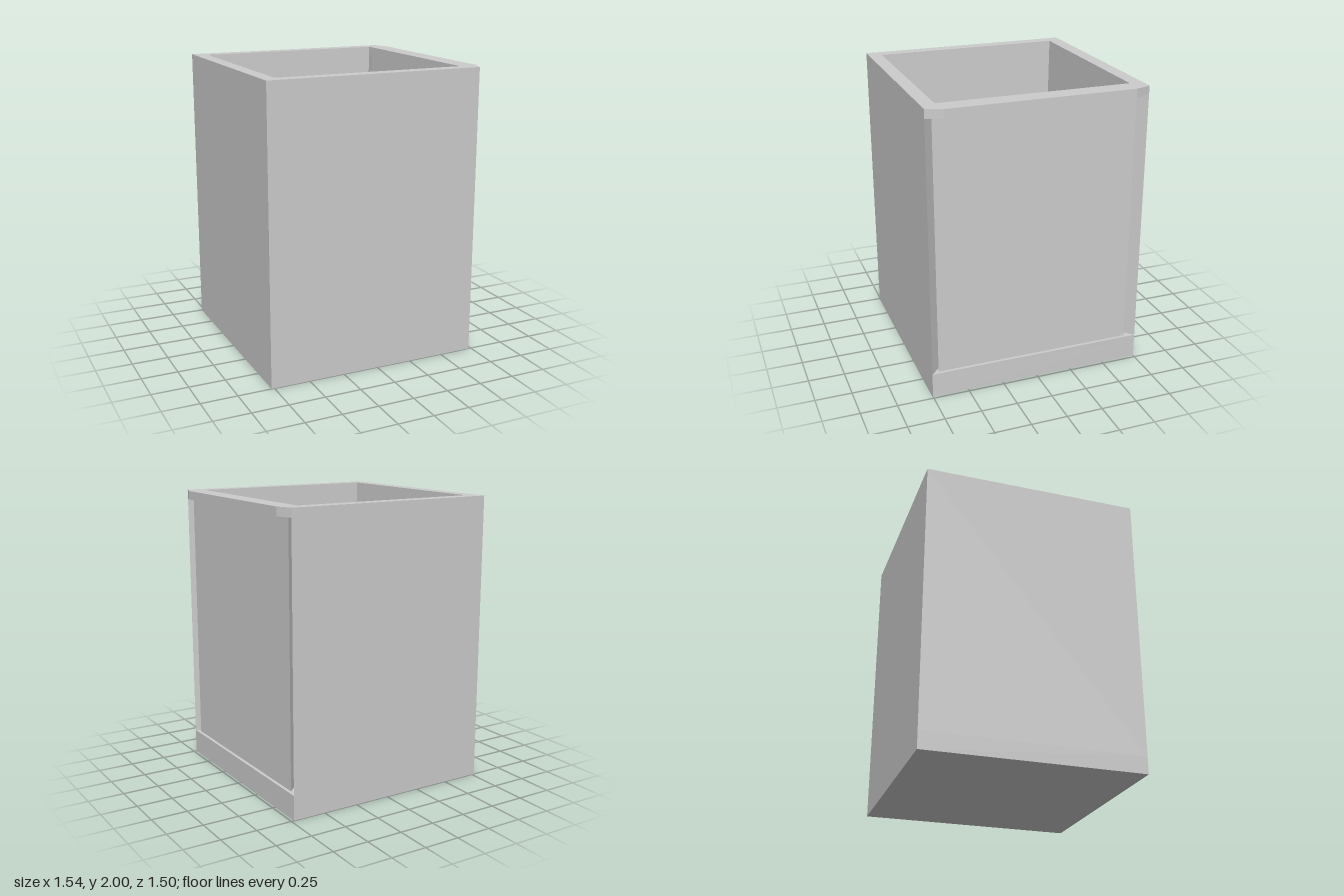
import * as THREE from 'three';

const FLOOR = 0.12, SILL = 0.17, LIP = 1.94, TOP = 2;

// Tapered cavity: left, right and half-depth limits at height y
function cavity(y) {
  const t = (y - FLOOR) / (TOP - FLOOR);
  return { l: -0.63 - 0.05 * t, r: 0.585 + 0.05 * t, d: 0.61 + 0.047 * t };
}

// Loft a counter-clockwise (x, z) outline, given by section(y), from y0 to y1
function loft(name, section, y0, y1, material) {
  const a = section(y0), b = section(y1), n = a.length;
  const pos = [];
  const put = (p, y) => pos.push(p[0], y, p[1]);
  for (let i = 0; i < n; i++) {
    const j = (i + 1) % n;
    put(a[i], y0); put(b[j], y1); put(a[j], y0);
    put(a[i], y0); put(b[i], y1); put(b[j], y1);
  }
  const caps = THREE.ShapeUtils.triangulateShape(a.map(p => new THREE.Vector2(...p)), []);
  for (const [i, j, k] of caps) {
    put(a[i], y0); put(a[j], y0); put(a[k], y0);
    put(b[i], y1); put(b[k], y1); put(b[j], y1);
  }
  const g = new THREE.BufferGeometry();
  g.setAttribute('position', new THREE.Float32BufferAttribute(pos, 3));
  g.computeVertexNormals();
  const mesh = new THREE.Mesh(g, material);
  mesh.name = name;
  return mesh;
}

export function createModel() {
  const group = new THREE.Group();
  group.name = 'slidingPanelBox';
  const mat = new THREE.MeshStandardMaterial({ color: 0xcccccc, flatShading: true });

  // Solid base
  const floor = new THREE.Mesh(new THREE.BoxGeometry(1.5, FLOOR, 1.5), mat);
  floor.position.set(-0.02, FLOOR / 2, 0);
  floor.name = 'floor';
  group.add(floor);

  // Three walls whose open ends are cut at 45 degrees
  const walls = y => {
    const { l, r, d } = cavity(y);
    return [[0.73, 0.75], [-0.77, 0.75], [-0.77, -0.75], [0.73, -0.75],
      [r, -d], [l, -d], [l, d], [r, d]];
  };
  group.add(loft('walls', walls, FLOOR, TOP, mat));

  // Low sill under the panel
  const sill = y => {
    const { r, d } = cavity(y);
    return [[0.73, 0.75], [r, d], [r, -d], [0.73, -0.75]];
  };
  group.add(loft('sill', sill, FLOOR, SILL, mat));

  // Slightly recessed panel with bevelled edges and a clearance gap each side
  const panel = y => {
    const x = 0.708, { r } = cavity(y);
    return [[x, 0.70], [r, 0.70 - (x - r)], [r, -0.675 + (x - r)], [x, -0.675]];
  };
  group.add(loft('panel', panel, SILL, LIP, mat));

  // Overhanging top lip with clipped corners
  const lip = y => [...sill(y), [0.77, -0.64], [0.77, 0.64]];
  group.add(loft('lip', lip, LIP, TOP, mat));

  return group;
}
